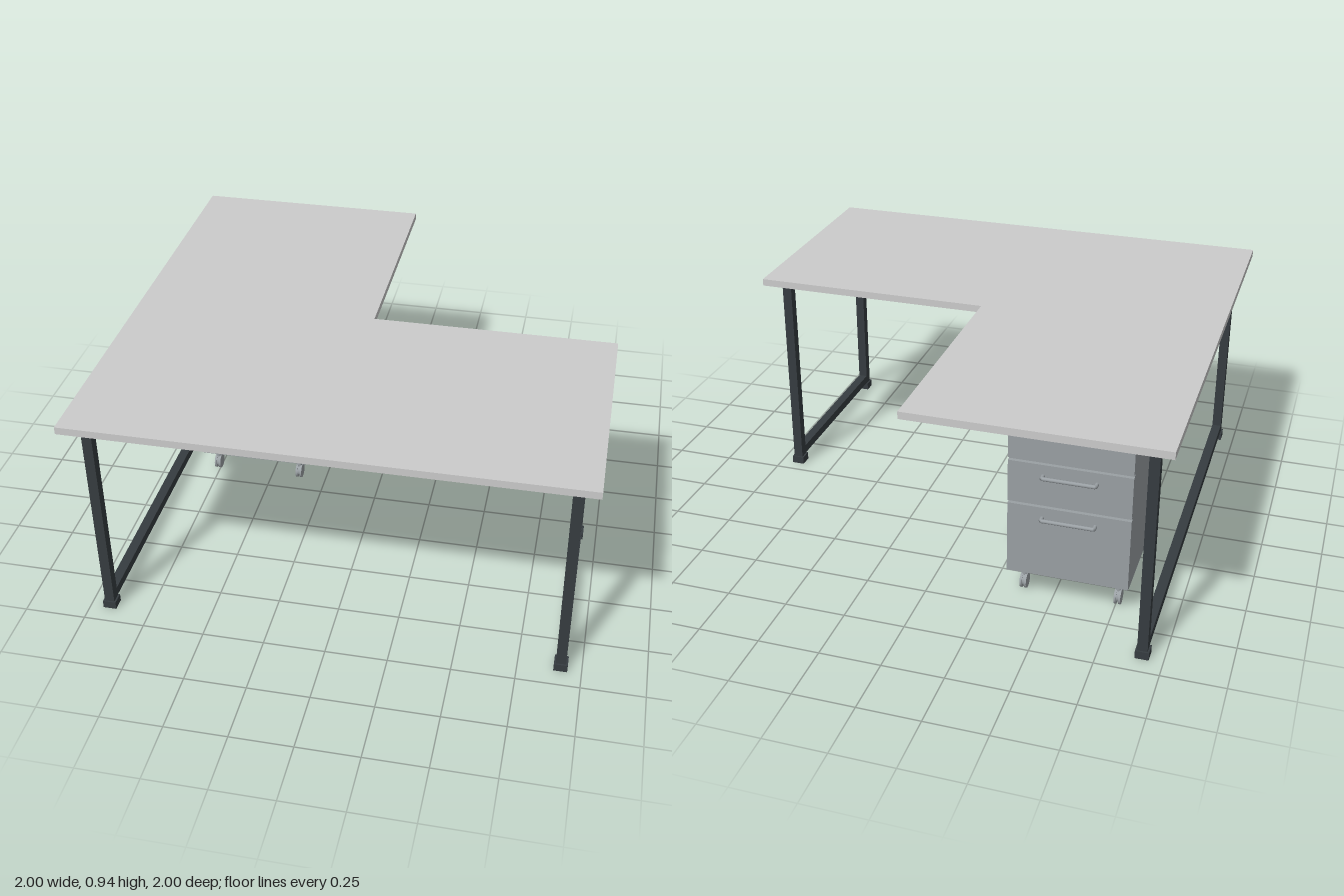
import * as THREE from 'three';

const material = (color) => new THREE.MeshStandardMaterial({ color });
const topMat = material(0xcccccc);
const frameMat = material(0x363c40);
const cabinetMat = material(0x9aa0a4);

function add(parent, name, geometry, mat, x = 0, y = 0, z = 0) {
  const mesh = new THREE.Mesh(geometry, mat);
  mesh.name = name;
  mesh.position.set(x, y, z);
  parent.add(mesh);
  return mesh;
}

// Box given by its low and high corners
function box(parent, name, mat, [x0, y0, z0], [x1, y1, z1]) {
  const geometry = new THREE.BoxGeometry(x1 - x0, y1 - y0, z1 - z0);
  return add(parent, name, geometry, mat, (x0 + x1) / 2, (y0 + y1) / 2, (z0 + z1) / 2);
}

// L-shaped worktop, outline drawn in x and -z
function createTabletop() {
  const outline = [[-1, -1], [1, -1], [1, 0], [0, 0], [0, 1], [-1, 1]];
  const shape = new THREE.Shape(outline.map(([x, y]) => new THREE.Vector2(x, y)));
  const geometry = new THREE.ExtrudeGeometry(shape, { depth: 0.03, bevelEnabled: false });
  geometry.rotateX(-Math.PI / 2);
  const top = new THREE.Mesh(geometry, topMat);
  top.name = 'tabletop';
  top.position.y = 0.91;
  return top;
}

// Rectangular side frame: two legs with feet, upper and lower rail
function createSideFrame(x, zFront, zBack) {
  const frame = new THREE.Group();
  frame.name = 'sideFrame';
  const h = 0.02;
  for (const z of [zFront, zBack]) {
    box(frame, 'leg', frameMat, [x - h, 0.02, z - h], [x + h, 0.91, z + h]);
    box(frame, 'foot', frameMat, [x - 0.027, 0, z - 0.027], [x + 0.027, 0.033, z + 0.027]);
  }
  box(frame, 'lowerRail', frameMat, [x - h, 0.035, zBack + h], [x + h, 0.073, zFront - h]);
  box(frame, 'upperRail', frameMat, [x - h, 0.864, zBack + h], [x + h, 0.902, zFront - h]);
  return frame;
}

// Swivel caster: stem, fork hub and twin wheels
function createCaster(x, z) {
  const caster = new THREE.Group();
  caster.name = 'caster';
  caster.position.set(x, 0, z);
  add(caster, 'stem', new THREE.CylinderGeometry(0.011, 0.011, 0.07, 16), cabinetMat, 0, 0.085);
  const wheel = new THREE.CylinderGeometry(0.033, 0.033, 0.009, 24).rotateZ(Math.PI / 2);
  for (const side of [-1, 1]) add(caster, 'wheel', wheel, cabinetMat, side * 0.009, 0.033);
  const hub = new THREE.CylinderGeometry(0.027, 0.027, 0.012, 24).rotateZ(Math.PI / 2);
  add(caster, 'hub', hub, cabinetMat, 0, 0.036);
  return caster;
}

// Mobile drawer pedestal, drawers facing the back
function createPedestal() {
  const pedestal = new THREE.Group();
  pedestal.name = 'pedestal';
  const x0 = -0.807, x1 = -0.318, xMid = (x0 + x1) / 2;
  box(pedestal, 'cabinetBody', cabinetMat, [x0, 0.115, -0.66], [x1, 0.818, -0.036]);
  box(pedestal, 'cabinetTop', cabinetMat, [x0 - 0.006, 0.829, -0.667], [x1 + 0.006, 0.851, -0.031]);

  // Drawer fronts with bow handles: [bottom, top, handle height]
  const handlePath = new THREE.CurvePath();
  const points = [[-0.105, 0], [-0.105, -0.022], [0.105, -0.022], [0.105, 0]]
    .map(([x, z]) => new THREE.Vector3(x, 0, z));
  for (let i = 0; i < 3; i++) handlePath.add(new THREE.LineCurve3(points[i], points[i + 1]));
  const handle = new THREE.TubeGeometry(handlePath, 60, 0.008, 10);
  for (const [bottom, top, y] of [[0.634, 0.818, 0.767], [0.444, 0.622, 0.574], [0.122, 0.433, 0.387]]) {
    box(pedestal, 'drawerFront', cabinetMat, [x0, bottom, -0.676], [x1, top, -0.66]);
    add(pedestal, 'drawerHandle', handle, cabinetMat, xMid, y, -0.676);
  }

  for (const x of [-0.757, -0.371]) {
    for (const z of [-0.1, -0.595]) pedestal.add(createCaster(x, z));
  }
  return pedestal;
}

export function createModel() {
  const desk = new THREE.Group();
  desk.name = 'cornerDesk';
  desk.add(createTabletop());
  desk.add(createSideFrame(-0.918, 0.9, -0.898));
  desk.add(createSideFrame(0.918, 0.9, 0.082));
  box(desk, 'frontBeam', frameMat, [-0.898, 0.856, 0.878], [0.898, 0.907, 0.918]);
  desk.add(createPedestal());
  return desk;
}
